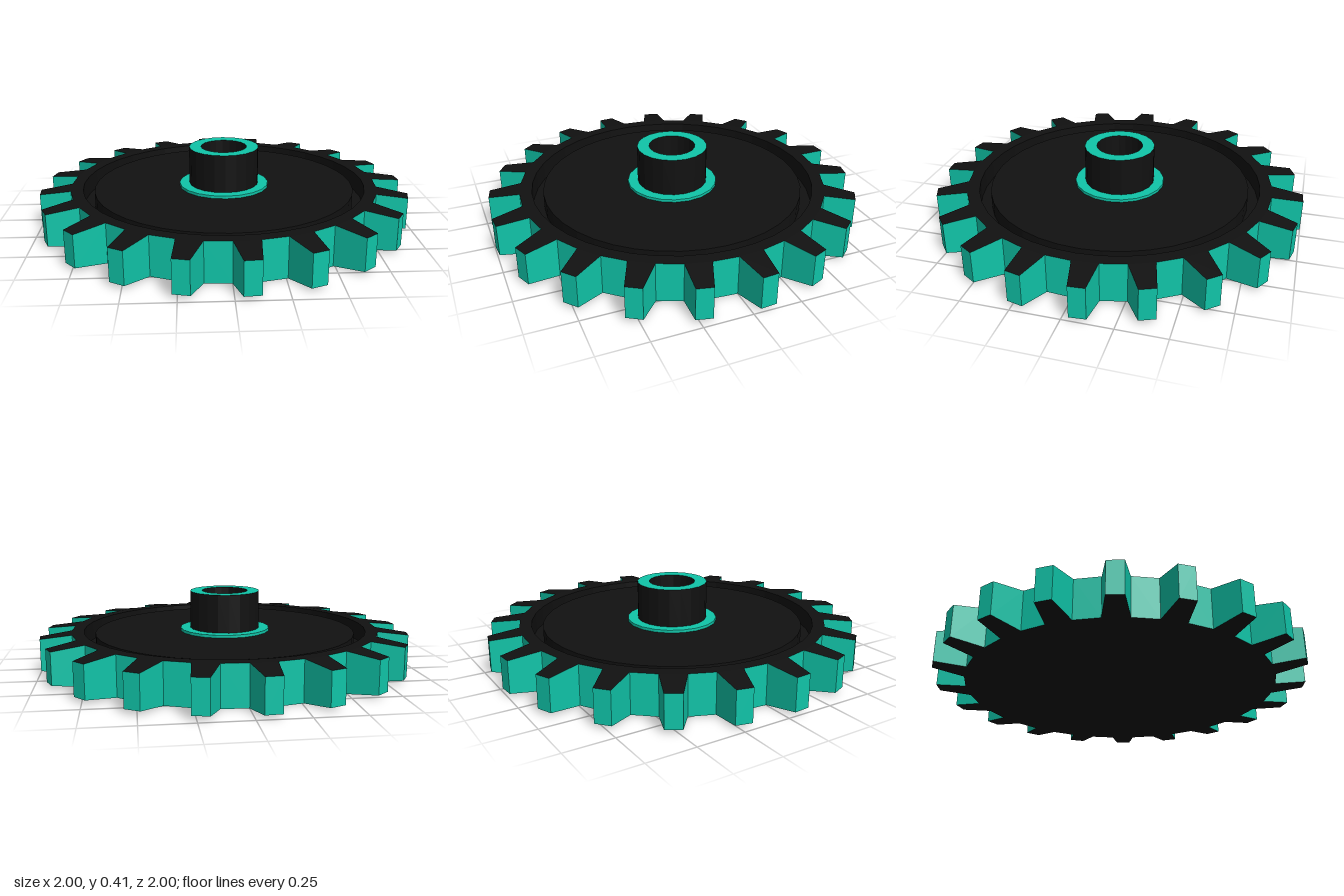
import * as THREE from 'three';

const TEETH = 20;
const ROOT_R = 0.835, TIP_R = 1.0, H = 0.21;
const rad = THREE.MathUtils.degToRad;

export function createModel() {
  const group = new THREE.Group();
  const black = new THREE.MeshStandardMaterial({ color: 0x111111, flatShading: true });
  const teal = new THREE.MeshStandardMaterial({ color: 0x10c4a8, flatShading: true });

  const add = (name, geometry, material) => {
    const mesh = new THREE.Mesh(geometry, material);
    mesh.name = name;
    group.add(mesh);
  };
  const lathe = (name, profile, sides, material) =>
    add(name, new THREE.LatheGeometry(profile.map(p => new THREE.Vector2(...p)), sides), material);
  const quads = list => {
    const pos = [];
    for (const [a, b, c, d] of list) pos.push(...a, ...b, ...c, ...a, ...c, ...d);
    const g = new THREE.BufferGeometry();
    g.setAttribute('position', new THREE.Float32BufferAttribute(pos, 3));
    g.computeVertexNormals();
    return g;
  };

  // Wheel: flat underside, and a face with a narrow groove inside the rim
  lathe('wheelUnderside', [[0, 0], [ROOT_R, 0]], TEETH * 2, black);
  lathe('wheelFace', [
    [ROOT_R, H], [0.77, H], [0.77, 0.11], [0.71, 0.11], [0.71, 0.195], [0, 0.195],
  ], TEETH * 2, black);
  lathe('wheelEdge', [[ROOT_R, 0], [ROOT_R, H]], TEETH * 2, teal);

  // Teeth: tapered in width and height towards the tip
  const caps = [], sides = [];
  for (let i = 0; i < TEETH; i++) {
    const mid = 4.5 + i * 360 / TEETH;
    const at = (r, deg, y) => [r * Math.sin(rad(mid + deg)), y, r * Math.cos(rad(mid + deg))];
    const ring = y => {
      const tipY = y === 0 ? 0.02 : H - 0.02;
      return [at(ROOT_R, -4.5, y), at(TIP_R, -2.4, tipY), at(TIP_R, 2.4, tipY), at(ROOT_R, 4.5, y)];
    };
    const lo = ring(0), hi = ring(H);
    caps.push(hi, [...lo].reverse());
    for (let k = 0; k < 3; k++) sides.push([lo[k], lo[k + 1], hi[k + 1], hi[k]]);
  }
  add('toothFaces', quads(caps), black);
  add('toothFlanks', quads(sides), teal);

  // Hub: collar, hollow post and its coloured top
  lathe('hubCollar', [[0.245, 0.19], [0.245, H], [0.18, H]], 20, teal);
  lathe('hubPost', [[0.19, 0.19], [0.19, 0.414]], 20, black);
  lathe('hubTop', [[0.19, 0.414], [0.125, 0.414]], 20, teal);
  lathe('hubBore', [[0.125, 0.414], [0.125, 0.2], [0, 0.2]], 20, black);

  return group;
}
